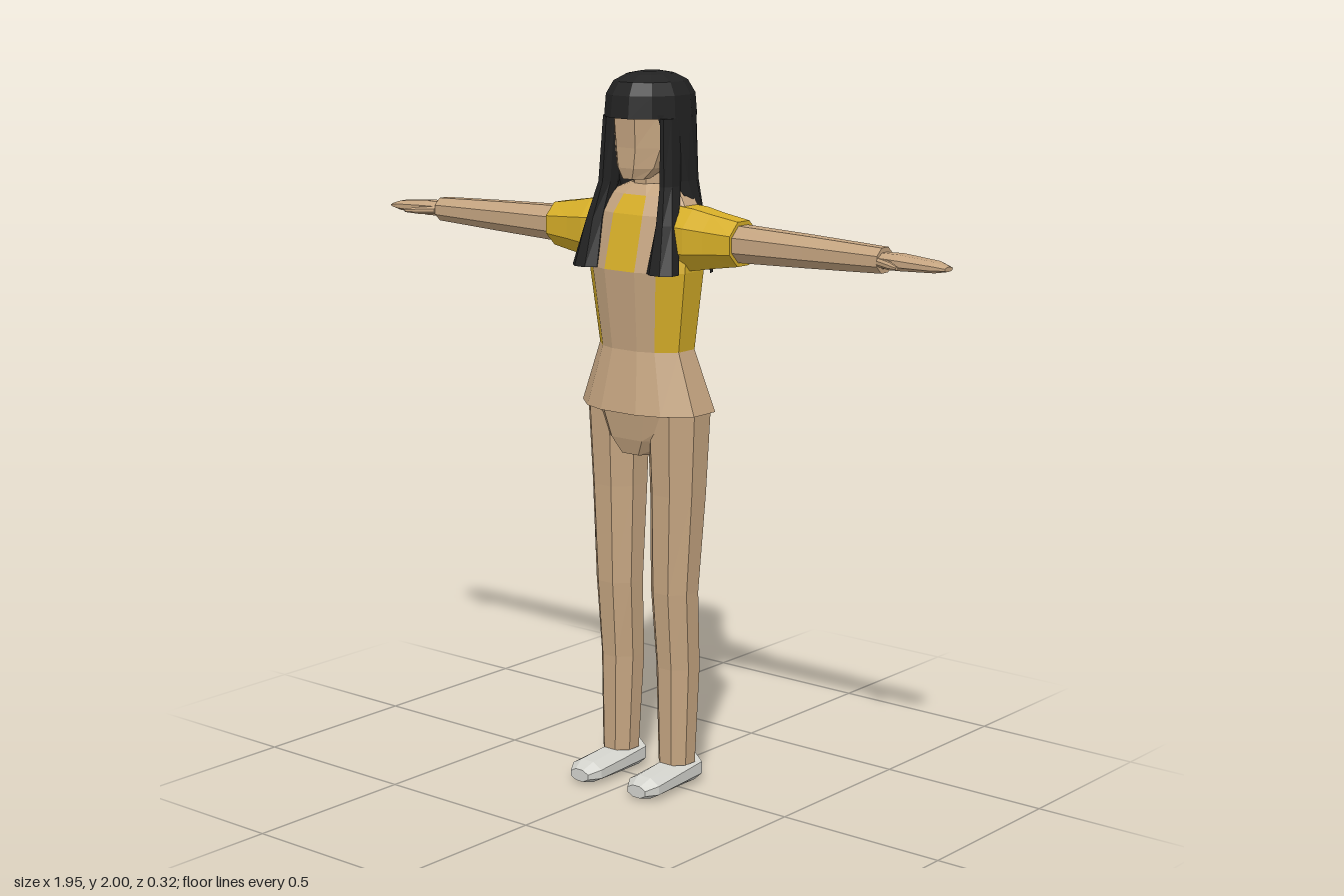
import * as THREE from 'three';

const mat = (name, color, side = THREE.FrontSide) => {
  const m = new THREE.MeshStandardMaterial({ color, side, flatShading: true });
  m.name = name;
  return m;
};

const rad = Math.PI / 180;
const OCT = [...Array(8).keys()].map((i) => (i * 45 - 22.5) * rad);
const DODEC = [...Array(12).keys()].map((i) => (i * 30 - 15) * rad);
// Torso columns: narrow strips beside the front and back centre panels
const half = [17, 38, 70, 110, 142, 163];
const TORSO = [-17, ...half, 197, 218, 250, 290, 322].map((a) => a * rad);

// Elliptical cross-section at height y: centre (cx, cz), half sizes rx, rz
function ring([y, cx, cz, rx, rz], angles) {
  const grow = angles === OCT ? 1.08 : 1.03;
  return angles.map((a) => [cx + rx * grow * Math.sin(a), y, cz + rz * grow * Math.cos(a)]);
}

// Skin a stack of rings; pick(row, column) chooses the material index
function loft(name, rings, materials, { pick = () => 0, open = false } = {}) {
  const buckets = materials.map(() => []);
  const n = rings[0].length;
  for (let r = 0; r < rings.length - 1; r++) {
    for (let j = 0; j < (open ? n - 1 : n); j++) {
      const k = (j + 1) % n;
      const [a, b, c, d] = [rings[r][j], rings[r][k], rings[r + 1][k], rings[r + 1][j]];
      buckets[pick(r, j)].push(...a, ...b, ...c, ...a, ...c, ...d);
    }
  }
  if (!open) {
    const lo = rings[0], hi = rings[rings.length - 1];
    for (let j = 1; j < n - 1; j++) {
      buckets[0].push(...lo[0], ...lo[j + 1], ...lo[j], ...hi[0], ...hi[j], ...hi[j + 1]);
    }
  }
  const g = new THREE.BufferGeometry();
  g.setAttribute('position', new THREE.Float32BufferAttribute(buckets.flat(), 3));
  let start = 0;
  buckets.forEach((b, i) => {
    g.addGroup(start, b.length / 3, i);
    start += b.length / 3;
  });
  g.computeVertexNormals();
  const mesh = new THREE.Mesh(g, materials.length > 1 ? materials : materials[0]);
  mesh.name = name;
  return mesh;
}

const tube = (name, specs, m, angles = OCT) => loft(name, specs.map((s) => ring(s, angles)), [m]);

export function createModel() {
  const model = new THREE.Group();
  model.name = 'figure';
  const skin = mat('tan', 0xc4a480);
  const yellow = mat('yellow', 0xd6ae28);
  const black = mat('black hair', 0x222222, THREE.DoubleSide);
  const grey = mat('light grey', 0xd2d2cc);

  // Shirt with yellow panels and tan strips
  const shirt = [
    [1.08, 0, -0.018, 0.206, 0.131], [1.25, 0, -0.012, 0.145, 0.097],
    [1.47, 0, -0.008, 0.175, 0.115], [1.62, 0, -0.02, 0.17, 0.09],
    [1.67, 0, -0.03, 0.13, 0.07], [1.7, 0, -0.035, 0.06, 0.05],
  ].map((s) => ring(s, TORSO));
  model.add(loft('shirt', shirt, [skin, yellow], {
    pick: (r, j) => {
      const k = Math.min(j, 12 - j);
      if (r === 1) return k >= 2 && k !== 5 ? 1 : 0;
      if (r === 2) return k !== 1 && k !== 5 ? 1 : 0;
      return r === 3 && k === 0 ? 1 : 0;
    },
  }));

  // Hips below the hem, neck and head
  model.add(tube('hips', [
    [0.955, 0, -0.03, 0.07, 0.09], [1.0, 0, -0.03, 0.13, 0.105], [1.09, 0, -0.02, 0.18, 0.11],
  ], skin));
  model.add(tube('neck', [
    [1.64, 0, -0.035, 0.055, 0.05], [1.76, 0, -0.025, 0.042, 0.042],
  ], skin));
  model.add(tube('head', [
    [1.715, 0, 0.035, 0.038, 0.035], [1.745, 0, 0.01, 0.065, 0.067],
    [1.8, 0, -0.008, 0.08, 0.085], [1.9, 0, -0.015, 0.086, 0.1],
  ], skin));

  // Hair cap with a straight fringe
  model.add(tube('hairCap', [
    [1.88, 0, -0.028, 0.115, 0.132], [1.94, 0, -0.028, 0.111, 0.126],
    [1.975, 0, -0.028, 0.092, 0.105], [1.993, 0, -0.028, 0.06, 0.07], [2.0, 0, -0.028, 0.025, 0.03],
  ], black, DODEC));

  // Long open sheet of hair down the back, narrowing towards the shoulders
  const curtain = [
    [1.46, 0, -0.075, 0.168, 0.065, 88], [1.53, 0, -0.07, 0.16, 0.075, 88],
    [1.62, 0, -0.06, 0.138, 0.09, 88], [1.71, 0, -0.045, 0.12, 0.11, 62],
    [1.89, 0, -0.028, 0.113, 0.13, 52],
  ].map(([y, cx, cz, rx, rz, from]) => {
    const step = (360 - 2 * from) / 10;
    return ring([y, cx, cz, rx, rz], [...Array(11).keys()].map((i) => (from + i * step) * rad));
  });
  model.add(loft('backHair', curtain, [black], { open: true }));

  for (const s of [1, -1]) {
    const side = s > 0 ? 'left' : 'right';

    // Front lock of hair sweeping over the shoulder
    model.add(tube(side + 'HairLock', [
      [1.47, s * 0.132, 0.08, 0.044, 0.037], [1.6, s * 0.123, 0.05, 0.027, 0.035],
      [1.7, s * 0.108, 0.02, 0.018, 0.036], [1.88, s * 0.1, 0.005, 0.014, 0.042],
    ], black));

    // Leg
    model.add(tube(side + 'Leg', [
      [0.07, s * 0.103, -0.02, 0.049, 0.05], [0.35, s * 0.101, -0.027, 0.058, 0.06],
      [0.57, s * 0.1, -0.012, 0.064, 0.062], [0.85, s * 0.105, -0.02, 0.074, 0.075],
      [1.09, s * 0.107, -0.02, 0.084, 0.085],
    ], skin));

    // Shoe, built heel to toe
    const shoe = tube(side + 'Shoe', [
      [-0.092, s * 0.103, -0.043, 0.032, 0.028], [-0.075, s * 0.103, -0.044, 0.048, 0.042],
      [0.02, s * 0.103, -0.037, 0.05, 0.036], [0.125, s * 0.105, -0.031, 0.053, 0.03],
      [0.16, s * 0.105, -0.026, 0.032, 0.017],
    ], grey);
    shoe.rotation.x = Math.PI / 2;
    model.add(shoe);

    // Arm, built from the shoulder outwards and laid level
    const arm = new THREE.Group();
    arm.name = side + 'Arm';
    arm.position.y = 1.56;
    arm.rotation.z = -s * Math.PI / 2;
    arm.add(tube('sleeve', [
      [0.1, 0, -0.02, 0.09, 0.075], [0.18, 0, -0.02, 0.084, 0.078],
      [0.24, 0, -0.02, 0.073, 0.068], [0.325, 0, -0.022, 0.06, 0.06],
    ], yellow));
    arm.add(tube('forearm', [
      [0.3, 0, -0.02, 0.05, 0.05], [0.55, 0, -0.022, 0.042, 0.043], [0.78, 0, -0.022, 0.033, 0.036],
    ], skin));
    arm.add(tube('hand', [
      [0.76, 0, -0.022, 0.02, 0.028], [0.83, 0, -0.022, 0.021, 0.038],
      [0.94, s * 0.002, -0.022, 0.014, 0.034], [0.975, s * 0.004, -0.02, 0.006, 0.018],
    ], skin));
    arm.add(tube('thumb', [
      [0.78, s * 0.002, 0.005, 0.011, 0.012], [0.83, s * 0.004, 0.028, 0.01, 0.012],
      [0.865, s * 0.005, 0.048, 0.005, 0.006],
    ], skin));
    model.add(arm);
  }
  return model;
}
